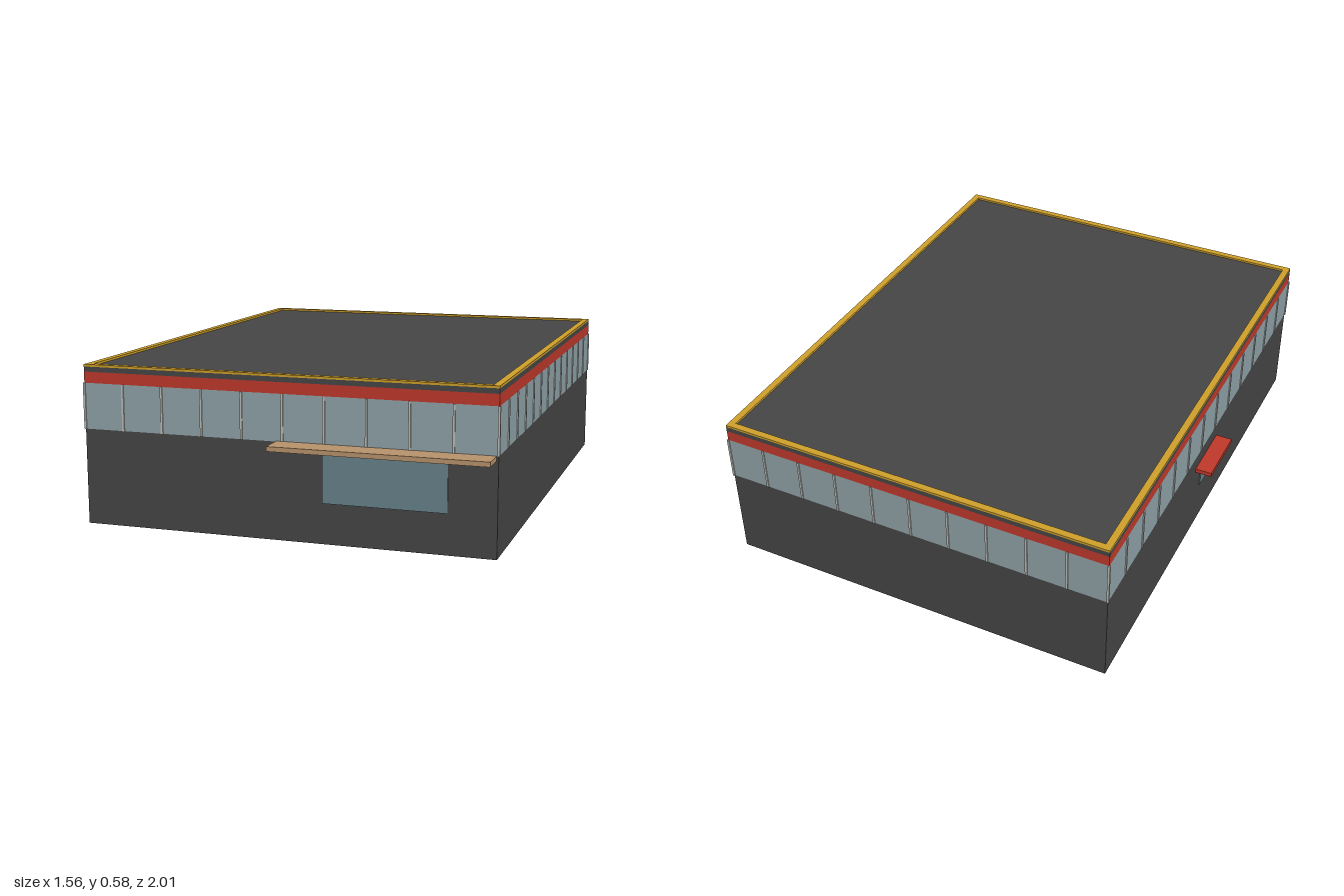
import * as THREE from 'three';

const mat = (name, color) => {
  const m = new THREE.MeshStandardMaterial({ color });
  m.name = name;
  return m;
};

const W = 1.49, D = 1.9; // building width and depth

export function createModel() {
  const wall = mat('charcoal', 0x464646);
  const glass = mat('paleGlass', 0x90a3a8);
  const doorGlass = mat('blueGlass', 0x68838a);
  const red = mat('red', 0xc0392b);
  const gold = mat('gold', 0xcfa02a);
  const wood = mat('tan', 0xb8936c);
  const metal = mat('lightGrey', 0xbcbcb8);

  const building = new THREE.Group();
  building.name = 'building';

  // Box given by its minimum and maximum corners
  const box = (name, material, [x0, y0, z0], [x1, y1, z1], parent = building) => {
    const mesh = new THREE.Mesh(new THREE.BoxGeometry(x1 - x0, y1 - y0, z1 - z0), material);
    mesh.position.set((x0 + x1) / 2, (y0 + y1) / 2, (z0 + z1) / 2);
    mesh.name = name;
    parent.add(mesh);
    return mesh;
  };
  const storey = (name, material, y0, y1) =>
    box(name, material, [-W / 2, y0, -D / 2], [W / 2, y1, D / 2]);

  // Stacked storeys
  storey('lowerWalls', wall, 0, 0.345);
  storey('windowBand', glass, 0.345, 0.51);
  storey('redFascia', red, 0.51, 0.55);
  storey('roofSlab', wall, 0.55, 0.568);

  // Roof edge trim, a rectangular frame
  const frame = (w, d, Type) => {
    const s = new Type();
    s.moveTo(-w / 2, -d / 2);
    s.lineTo(w / 2, -d / 2);
    s.lineTo(w / 2, d / 2);
    s.lineTo(-w / 2, d / 2);
    s.closePath();
    return s;
  };
  const ring = frame(W, D, THREE.Shape);
  ring.holes.push(frame(W - 0.05, D - 0.05, THREE.Path));
  const trim = new THREE.Mesh(
    new THREE.ExtrudeGeometry(ring, { depth: 0.008, bevelEnabled: false }), gold);
  trim.rotation.x = -Math.PI / 2;
  trim.position.y = 0.568;
  trim.name = 'roofTrim';
  building.add(trim);

  // Window mullions around all four sides
  const mullions = new THREE.Group();
  mullions.name = 'mullions';
  building.add(mullions);
  const t = 0.004;
  const mullion = (x, z) =>
    box('mullion', metal, [x - t, 0.345, z - t], [x + t, 0.51, z + t], mullions);
  for (const s of [-1, 1]) {
    for (let i = 0; i <= 10; i++) mullion(-W / 2 + (W * i) / 10, (s * D) / 2);
    for (let i = 1; i < 13; i++) mullion((s * W) / 2, -D / 2 + (D * i) / 13);
  }

  // Front entrance glazing and its canopy
  box('frontGlazing', doorGlass, [0.143, 0.143, D / 2 - 0.002], [0.578, 0.318, D / 2 + 0.004]);
  box('frontCanopy', wood, [-0.022, 0.33, D / 2], [0.738, 0.347, 1.043]);

  // Side window and its canopy
  box('sideGlazing', doorGlass, [-W / 2 - 0.004, 0.17, -0.065], [-W / 2 + 0.002, 0.273, 0.075]);
  box('sideCanopy', red, [-0.807, 0.272, -0.12], [-W / 2, 0.289, 0.107]);

  // Slightly turned on its plot
  building.rotation.y = -0.0073;
  building.position.set(0.0225, 0, -0.045);

  const model = new THREE.Group();
  model.name = 'model';
  model.add(building);
  return model;
}
